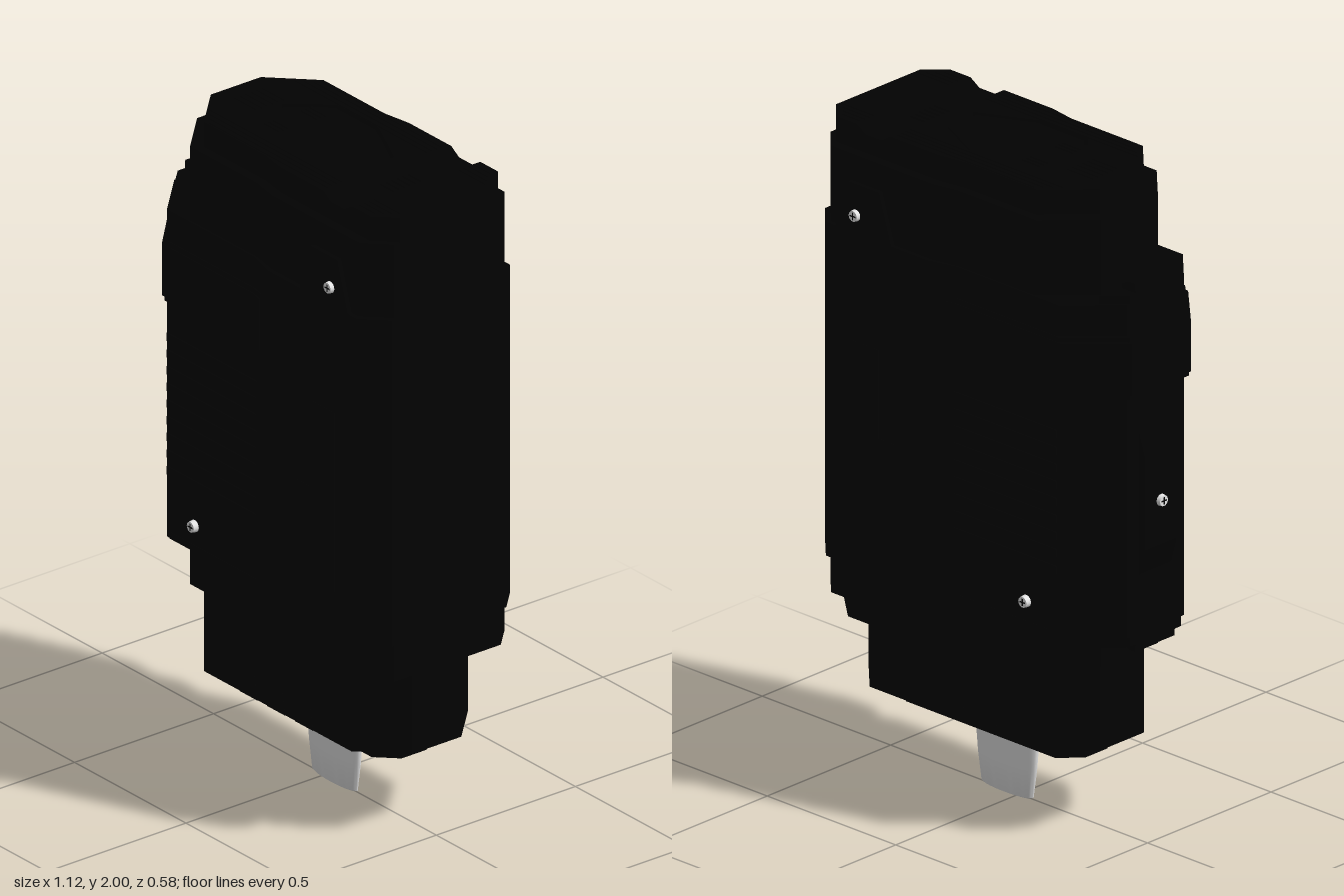
import * as THREE from 'three';
import { toCreasedNormals } from 'three/addons/utils/BufferGeometryUtils.js';

export function createModel() {
  const root = new THREE.Group();
  root.name = 'handheldDevice';
  const black = new THREE.MeshStandardMaterial({ color: 0x020202 });
  black.name = 'casing black';
  const silver = new THREE.MeshStandardMaterial({ color: 0xe8e8e8 });
  silver.name = 'silver';

  const add = (name, geometry, material = black, parent = root) => {
    const mesh = new THREE.Mesh(geometry, material);
    mesh.name = name;
    parent.add(mesh);
    return mesh;
  };
  const shapeOf = (pts) => new THREE.Shape(pts.map(([a, b]) => new THREE.Vector2(a, b)));
  const extrude = (shape, depth) => new THREE.ExtrudeGeometry(shape, { depth, bevelEnabled: false });

  // Horizontal half-outline mirrored front to back
  const mirrored = (half) => [...half, ...half.slice().reverse().map(([x, z]) => [x, -z])].reverse();
  // Vertical prism standing on an x/z outline
  const prism = (name, half, y0, y1, hole) => {
    const shape = shapeOf(mirrored(half));
    if (hole) shape.holes.push(shapeOf(mirrored(hole)));
    const g = extrude(shape, y1 - y0);
    g.rotateX(-Math.PI / 2);
    g.translate(0, y0, 0);
    return add(name, g);
  };
  // Plate with an x/y outline, repeated on front and back
  const sidePlates = (name, pts, z0, z1) => {
    for (const s of [1, -1]) {
      const g = extrude(shapeOf(pts), z1 - z0);
      g.translate(0, 0, s > 0 ? z0 : -z1);
      add(name + (s > 0 ? 'Front' : 'Back'), g);
    }
  };
  // Chamfered body outline, thicker towards +x
  const body = (xl, xr, zl, zr, c, cr = 0.07) => [
    [xl, zl - c], [xl + c, zl], [0, zl], [0.09, zr], [xr - cr, zr], [xr, zr - cr],
  ];

  // Stacked casing layers, with a recessed mouth at the bottom
  prism('bottomCollar', body(-0.30, 0.40, 0.105, 0.105, 0.06, 0.06), 0.215, 0.265,
    body(-0.24, 0.33, 0.08, 0.08, 0.05, 0.05));
  prism('bottomStep', body(-0.33, 0.42, 0.145, 0.145, 0.08, 0.08), 0.26, 0.285);
  prism('lowerBlock', body(-0.40, 0.50, 0.21, 0.21, 0.12, 0.12), 0.28, 0.57);
  prism('core', body(-0.43, 0.55, 0.245, 0.262, 0.13, 0.07), 0.555, 1.92);
  prism('shell', body(-0.53, 0.556, 0.252, 0.277, 0.135), 0.67, 1.69);
  prism('topCap', body(-0.40, 0.55, 0.215, 0.23, 0.125, 0.06), 1.91, 1.975);

  // Top rim with a recessed island, and the end block beyond a sloped notch
  const island = [[-0.23, 0.03], [-0.13, 0.145], [0.06, 0.145], [0.235, 0.06]];
  prism('topRim', [[-0.40, 0.09], [-0.275, 0.215], [0, 0.215], [0.09, 0.23], [0.28, 0.23]],
    1.97, 1.997, island);
  prism('topIsland', island.map(([x, z]) => [x * 0.94, z * 0.94]), 1.97, 1.992);
  prism('topEndBlock', [[0.41, 0.23], [0.49, 0.23], [0.55, 0.17]], 1.97, 1.997);
  for (const [x0, x1] of [[0.28, 0.315], [0.41, 0.375]]) {
    const ramp = [[x0, 1.97], [x1, 1.975], [x0, 1.997]];
    const g = extrude(shapeOf(x1 > x0 ? ramp : ramp.reverse()), 0.46);
    add('notchRamp', g.translate(0, 0, -0.23));
  }
  // Fine ribs across the top
  const topRib = (name, x0, x1, y, z) => {
    const g = new THREE.BoxGeometry(x1 - x0, 0.006, 0.009);
    add(name, g.translate((x0 + x1) / 2, y, z));
  };
  for (const s of [1, -1]) {
    for (let i = 0; i < 4; i++) {
      const z = s * (0.152 + i * 0.018);
      topRib('topRib', -0.32 + i * 0.02, 0.275, 1.997, z);
      topRib('endBlockRib', 0.415, 0.535 - i * 0.016, 1.997, z);
    }
    for (let i = 0; i < 3; i++) topRib('islandRib', -0.165, -0.095, 1.993, s * (0.05 + i * 0.016));
  }
  for (let i = 0; i < 6; i++) {
    const z = (i - 2.5) * 0.02;
    topRib('notchRib', 0.315, 0.375, 1.977, z);
    topRib('rimRib', -0.34, -0.24, 1.997, z);
  }

  // Narrow-edge bumper with sloped lips and a raised bulge
  prism('edgeBumper', [[-0.53, 0.105], [-0.47, 0.165]], 0.64, 1.715);
  const lip = [[-0.53, 1.71], [-0.475, 1.71], [-0.48, 1.73], [-0.505, 1.742], [-0.527, 1.742]];
  const mirrorY = ([x, y]) => [x, 2.36 - y];
  for (const pts of [lip, lip.map(mirrorY).reverse()]) {
    add('bumperLip', extrude(shapeOf(pts), 0.16).translate(0, 0, -0.08));
  }
  const bulge = extrude(shapeOf([
    [-0.53, 0.85], [-0.52, 0.85], [-0.52, 1.28], [-0.53, 1.28], [-0.552, 1.21], [-0.552, 0.93],
  ]), 0.13);
  add('edgeBulge', bulge.translate(0, 0, -0.065));

  // Wrapping band with stepped upper and lower edges
  const band = (xl, z, end) => [[xl, 0.12], [xl + 0.145, z], [0, z], [end, z + 0.01]];
  prism('gripBand', band(-0.553, 0.26, 0.04), 1.42, 1.58);
  prism('gripBandEdge', band(-0.545, 0.256, 0.045), 1.405, 1.595);

  // Side tabs reaching past the shell, and the latch panel
  const tab = (y0, y1) => [[0.23, y0], [0.28, y1], [0.40, y1], [0.45, y0]];
  sidePlates('upperTab', tab(1.68, 1.84).reverse(), 0.24, 0.277);
  sidePlates('lowerTab', tab(0.68, 0.51), 0.258, 0.277);
  sidePlates('latchPanel', [
    [0.29, 0.8], [0.39, 0.8], [0.39, 1.36], [0.28, 1.36], [0.28, 1.09],
    [0.22, 1.09], [0.22, 0.93], [0.29, 0.91],
  ], 0.27, 0.28);

  // Grip ribs, lower ledge and mouth notches
  for (const s of [1, -1]) {
    for (let i = 0; i < 9; i++) {
      const g = new THREE.BoxGeometry(0.42, 0.025, 0.012);
      add('gripRib', g.translate(-0.18, 0.88 + i * 0.052, s * 0.252));
    }
    add('lowerLedge', new THREE.BoxGeometry(0.6, 0.02, 0.012).translate(-0.08, 0.68, s * 0.249));
  }
  for (const x of [-0.08, 0.045, 0.17]) {
    sidePlates('mouthNotch', [[x - 0.04, 0.28], [x + 0.04, 0.28], [x + 0.025, 0.36], [x - 0.025, 0.36]],
      0.2, 0.212);
  }

  // Tapered flattened blade
  const profile = [[0, 0], [0.09, 0], [0.1, 0.004], [0.113, 0.09], [0.122, 0.19], [0.126, 0.27]];
  const bladeGeo = new THREE.LatheGeometry(profile.map(([r, y]) => new THREE.Vector2(r, y)), 40);
  const p = bladeGeo.attributes.position;
  for (let i = 0; i < p.count; i++) p.setZ(i, p.getZ(i) * (0.18 + 0.28 * p.getY(i)));
  add('blade', toCreasedNormals(bladeGeo, 0.7), silver).position.x = 0.045;

  // Cross-head screws
  const screw = (x, y, z, ry) => {
    const g = new THREE.Group();
    g.name = 'screw';
    add('screwHead', new THREE.CylinderGeometry(0.016, 0.019, 0.02, 16).rotateX(Math.PI / 2), silver, g);
    add('screwSlotAcross', new THREE.BoxGeometry(0.022, 0.004, 0.004).translate(0, 0, 0.009), black, g);
    add('screwSlotUp', new THREE.BoxGeometry(0.004, 0.022, 0.004).translate(0, 0, 0.009), black, g);
    g.position.set(x, y, z);
    g.rotation.y = ry;
    root.add(g);
  };
  for (const s of [1, -1]) {
    screw(0.37, 1.745, s * 0.279, s > 0 ? 0 : Math.PI);
    screw(-0.27, 0.75, s * 0.258, s > 0 ? 0 : Math.PI);
  }
  screw(-0.554, 1.065, 0, -Math.PI / 2);

  return root;
}
